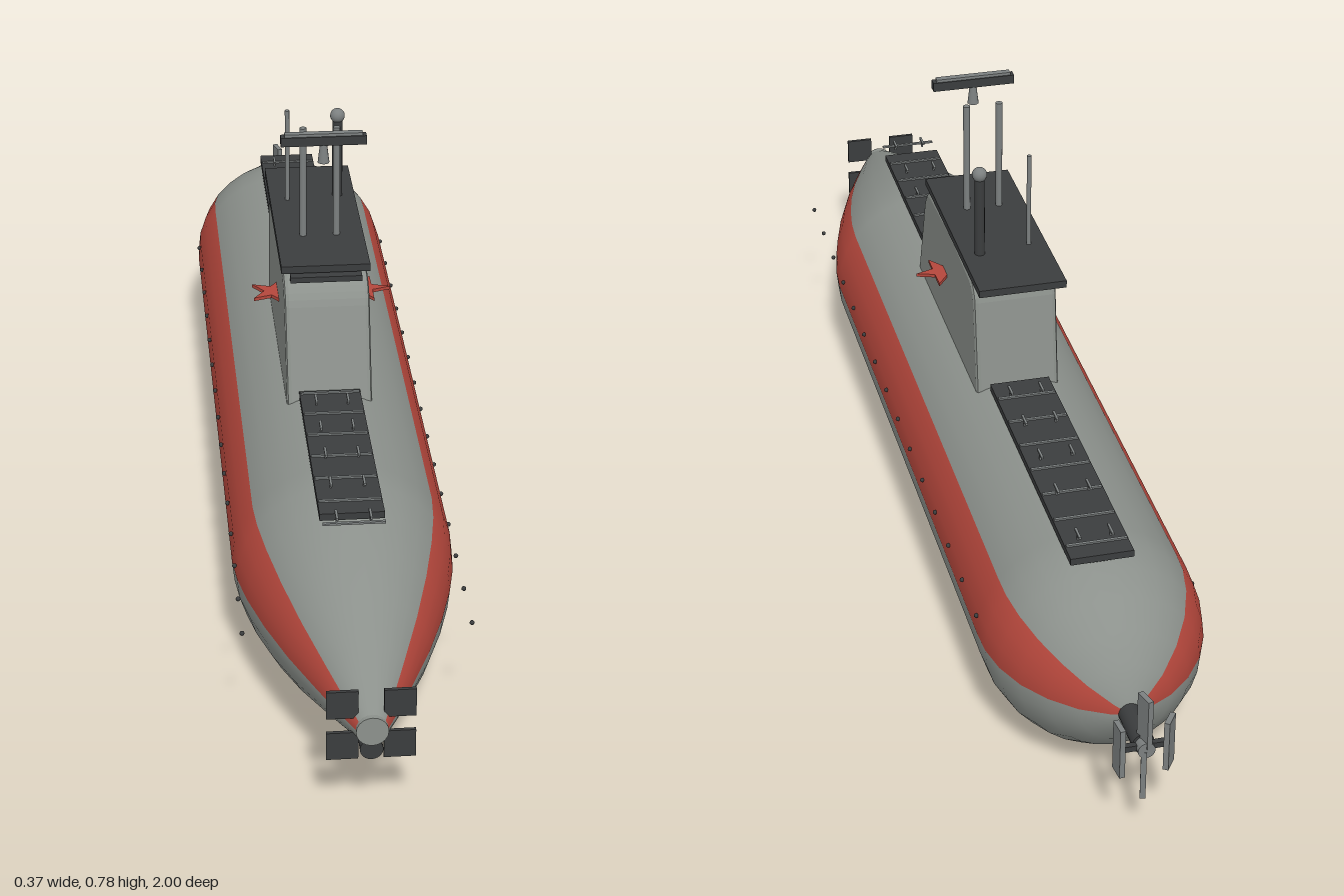
import * as THREE from 'three';

const mat = (name, color) => Object.assign(new THREE.MeshStandardMaterial({ color }), { name });

export function createModel() {
  const hullGrey = mat('hull grey', 0x8c918c);
  const red = mat('stripe red', 0xb5473c);
  const dark = mat('dark grey', 0x3b3d3e);
  const steel = mat('steel grey', 0x7c8080);
  const model = new THREE.Group();
  model.name = 'submarine';
  const CY = 0.177; // height of the hull axis

  const add = (name, geometry, material, x = 0, y = 0, z = 0) => {
    const mesh = new THREE.Mesh(geometry, material);
    mesh.name = name;
    mesh.position.set(x, y, z);
    model.add(mesh);
    return mesh;
  };
  const box = (name, m, w, h, d, x, y, z) => add(name, new THREE.BoxGeometry(w, h, d), m, x, y, z);
  const post = (name, m, r, y0, y1, x, z, rTop = r) =>
    add(name, new THREE.CylinderGeometry(rTop, r, y1 - y0, 12), m, x, (y0 + y1) / 2, z);
  const rod = (name, m, r, z0, z1, x, y) =>
    add(name, new THREE.CylinderGeometry(r, r, z1 - z0, 20).rotateX(Math.PI / 2), m, x, y, (z0 + z1) / 2);

  // Hull: one profile turned in sectors, so the side stripes are whole parts
  const profile = [
    [0.0, -0.908], [0.03, -0.9], [0.075, -0.876], [0.115, -0.84], [0.148, -0.795], [0.17, -0.745],
    [0.181, -0.695], [0.183, -0.65], [0.183, 0.5], [0.178, 0.555], [0.165, 0.62], [0.143, 0.7],
    [0.112, 0.79], [0.075, 0.88], [0.045, 0.95], [0.024, 0.995],
  ].map(([r, z]) => new THREE.Vector2(r, z));
  const step = Math.PI / 15;
  const sector = (name, m, start, count) => {
    const g = new THREE.LatheGeometry(profile, count, Math.PI / 2 + start * step, count * step);
    g.rotateX(Math.PI / 2).scale(1, 0.967, 1);
    add(name, g, m, 0, CY, 0);
  };
  sector('leftStripe', red, 0, 3);
  sector('upperHull', hullGrey, 3, 9);
  sector('rightStripe', red, 12, 3);
  sector('lowerHull', hullGrey, 15, 15);
  rod('noseCap', hullGrey, 0.025, 0.985, 1.0, 0, CY);
  rod('noseTube', dark, 0.018, 0.93, 0.99, 0, 0.138);

  // Four square fins at the nose
  for (const sx of [-1, 1]) for (const sy of [-1, 1])
    box('noseFin', dark, 0.049, 0.048, 0.006, sx * 0.044, CY + sy * 0.037, 0.978);

  // Rivets along the stripes
  for (const sx of [-1, 1]) for (let i = 0; i < 15; i++)
    add('rivet', new THREE.SphereGeometry(0.004, 8, 6), dark, sx * 0.182, 0.206, -0.64 + i * 0.1);

  // Shaft and propeller
  rod('propellerShaft', dark, 0.018, -0.98, -0.895, 0, CY);
  rod('propellerHub', steel, 0.014, -0.998, -0.97, 0, CY);
  for (const [x, y, turn] of [[0, 0.048, 0.3], [0, -0.048, -0.3], [0.04, 0, 0.1], [-0.04, 0, -0.6]])
    box('propellerBlade', steel, 0.009, 0.09, 0.03, x, CY + y, -0.984).rotation.y = turn;
  box('propellerArm', dark, 0.08, 0.01, 0.01, 0, CY, -0.984);

  // Sail: side outline extruded across the boat with a small bevel
  const sailShape = new THREE.Shape();
  sailShape.moveTo(-0.19, 0.325);
  sailShape.lineTo(0.265, 0.325);
  sailShape.lineTo(0.208, 0.495);
  sailShape.quadraticCurveTo(0.196, 0.528, 0.16, 0.533);
  sailShape.lineTo(0.0, 0.541);
  sailShape.lineTo(-0.13, 0.533);
  sailShape.quadraticCurveTo(-0.162, 0.53, -0.166, 0.505);
  sailShape.closePath();
  const sail = new THREE.ExtrudeGeometry(sailShape, {
    depth: 0.13, bevelEnabled: true, bevelThickness: 0.008, bevelSize: 0.008, bevelSegments: 2, curveSegments: 6,
  });
  sail.translate(0, 0, -0.065).rotateY(-Math.PI / 2);
  add('sail', sail, hullGrey);
  box('roofPlate', dark, 0.152, 0.013, 0.412, 0, 0.555, -0.02);
  box('roofLip', dark, 0.122, 0.01, 0.02, 0, 0.541, 0.188);

  // Star-shaped planes on the sail
  const star = new THREE.Shape();
  for (let i = 0; i < 10; i++) {
    const r = i % 2 ? 0.018 : 0.046, a = i * Math.PI / 5;
    star[i ? 'lineTo' : 'moveTo'](r * Math.cos(a), r * Math.sin(a));
  }
  star.closePath();
  for (const sx of [-1, 1]) {
    const g = new THREE.ExtrudeGeometry(star, { depth: 0.006, bevelEnabled: false });
    add('starPlane', g.rotateX(-Math.PI / 2), red, sx * 0.079, 0.443, 0.048);
  }

  // Masts and radar
  for (const sx of [-1, 1]) post('mast', steel, 0.006, 0.555, 0.763, sx * 0.029, 0.062);
  post('thinMast', steel, 0.004, 0.555, 0.733, -0.045, -0.087);
  post('sensorMast', dark, 0.009, 0.555, 0.71, 0.045, -0.1);
  add('sensorBall', new THREE.SphereGeometry(0.013, 16, 12), steel, 0.045, 0.715, -0.1);
  box('radarBar', dark, 0.145, 0.016, 0.016, 0, 0.772, 0.135);
  box('radarTop', steel, 0.132, 0.006, 0.012, 0, 0.782, 0.135);
  post('radarHorn', steel, 0.01, 0.731, 0.764, 0, 0.135, 0.006);

  // Deck walkways with cross bars and cleats
  box('rearDeck', dark, 0.104, 0.012, 0.53, 0, 0.355, -0.47);
  box('frontDeck', dark, 0.104, 0.012, 0.43, 0, 0.355, 0.452);
  for (let i = 0; i < 7; i++) {
    box('rearDeckBar', steel, 0.1, 0.003, 0.005, 0, 0.3625, -0.7 + i * 0.074);
    box('frontDeckBar', steel, 0.1, 0.003, 0.005, 0, 0.3625, 0.27 + i * 0.0717);
  }
  for (const z of [0.69, 0.585, 0.49, 0.4, 0.31, -0.25, -0.345, -0.45, -0.555, -0.685])
    for (const sx of [-1, 1]) {
      box('cleat', steel, 0.004, 0.004, 0.028, sx * 0.027, 0.372, z);
      box('cleatPost', steel, 0.003, 0.01, 0.004, sx * 0.027, 0.365, z);
    }
  box('forwardRail', steel, 0.1, 0.003, 0.005, 0, 0.363, 0.7);
  return model;
}
